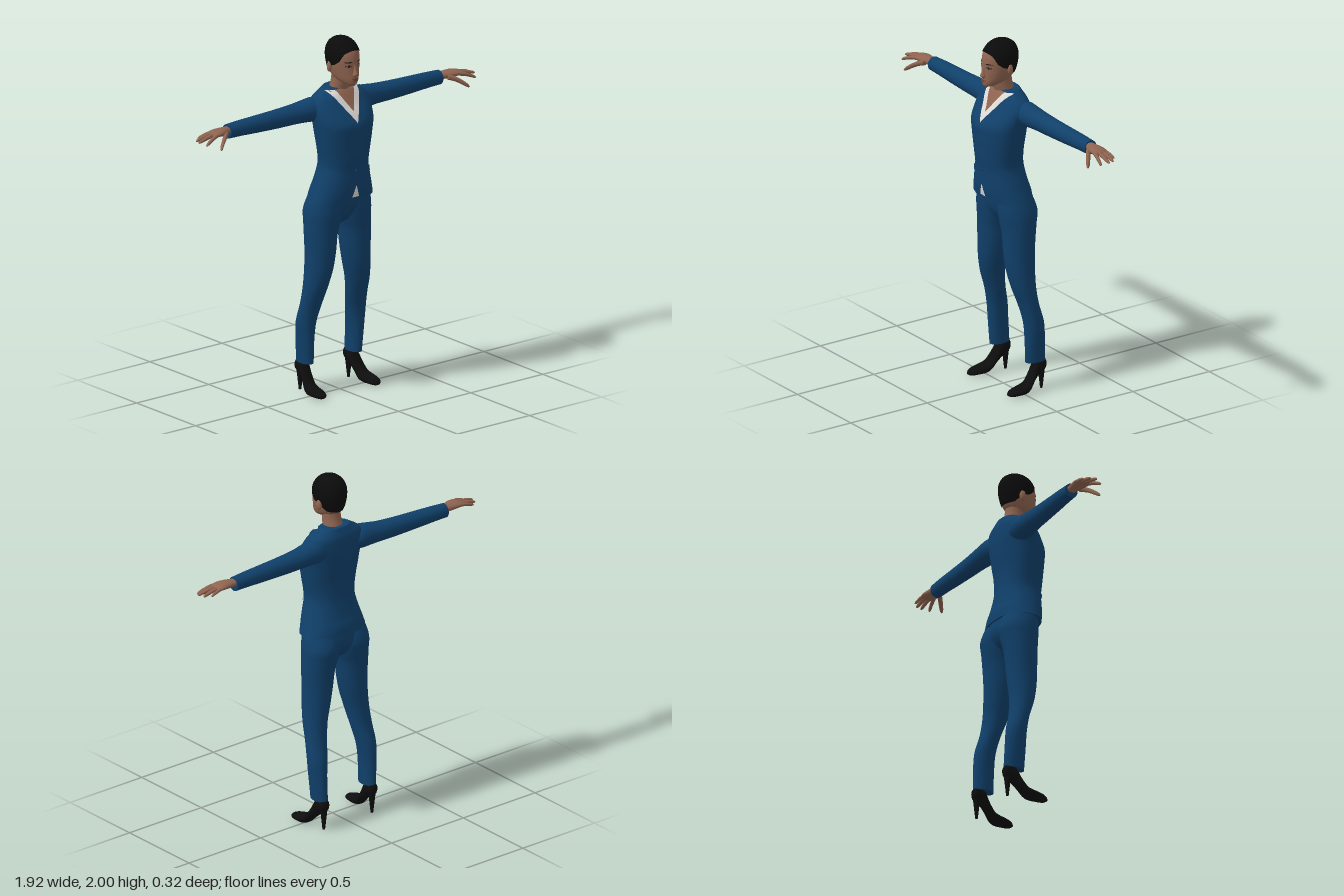
import * as THREE from 'three';

const mat = (name, color) => Object.assign(new THREE.MeshStandardMaterial({ color }), { name });

// Smooth interpolation of section rows [t, cu, cv, ru, rv] at t
function sample(rows, t) {
  let i = 0;
  while (i < rows.length - 2 && t > rows[i + 1][0]) i++;
  const a = rows[i], b = rows[i + 1], p = rows[Math.max(i - 1, 0)], q = rows[Math.min(i + 2, rows.length - 1)];
  const h = b[0] - a[0], s = THREE.MathUtils.clamp((t - a[0]) / h, 0, 1), s2 = s * s, s3 = s2 * s;
  return [1, 2, 3, 4].map((k) => {
    const ma = ((b[k] - p[k]) / (b[0] - p[0])) * h, mb = ((q[k] - a[k]) / (q[0] - a[0])) * h;
    const v = (2 * s3 - 3 * s2 + 1) * a[k] + (s3 - 2 * s2 + s) * ma + (3 * s2 - 2 * s3) * b[k] + (s3 - s2) * mb;
    return k > 2 ? Math.max(v, 0.0005) : v;
  });
}

// Loft of superellipse sections along an axis; low(sin) trims the lower rim
function loft(rows, { axis = 'y', n = 2, sides = 32, sub = 4, grow = 0, low = null } = {}) {
  const pos = [], idx = [], ts = [];
  const put = { x: (t, u, v) => [t, v, u], y: (t, u, v) => [u, t, v], z: (t, u, v) => [v, u, t] }[axis];
  for (let i = 0; i < rows.length - 1; i++)
    for (let k = 0; k < sub; k++) ts.push(rows[i][0] + ((rows[i + 1][0] - rows[i][0]) * k) / sub);
  const end = rows[rows.length - 1][0];
  ts.push(end);
  const pw = (c) => Math.sign(c) * Math.abs(c) ** (2 / n);
  ts.forEach((t0, i) => {
    for (let j = 0; j < sides; j++) {
      const a = (j / sides) * Math.PI * 2, f = i / (ts.length - 1);
      const l = low ? low(Math.sin(a)) : 0;
      const t = low ? l + (end - l) * (1 - (1 - f) ** 2) : t0;
      const [cu, cv, ru, rv] = sample(rows, t);
      pos.push(...put(t + (low ? grow * f : 0), cu + (ru + grow) * pw(Math.cos(a)), cv + (rv + grow) * pw(Math.sin(a))));
    }
  });
  const m = ts.length;
  for (let i = 0; i < m - 1; i++)
    for (let j = 0; j < sides; j++) {
      const a = i * sides + j, b = i * sides + ((j + 1) % sides);
      idx.push(a, a + sides, b, b, a + sides, b + sides);
    }
  // End caps
  for (const [r, flip] of low ? [[m - 1, true]] : [[0, false], [m - 1, true]]) {
    const base = pos.length / 3, [cu, cv] = sample(rows, ts[r]);
    pos.push(...pos.slice(r * sides * 3, (r + 1) * sides * 3), ...put(ts[r] + (low ? grow : 0), cu, cv));
    for (let j = 0; j < sides; j++) {
      const a = base + j, b = base + ((j + 1) % sides), c = base + sides;
      flip ? idx.push(a, c, b) : idx.push(a, b, c);
    }
  }
  return build(pos, idx);
}

function build(pos, idx) {
  const g = new THREE.BufferGeometry();
  g.setAttribute('position', new THREE.Float32BufferAttribute(pos, 3));
  g.setIndex(idx);
  g.computeVertexNormals();
  return g;
}

// Thin plate lying on the front of a vertical loft between two edges
function patch(rows, n, y0, y1, left, right, off, nx = 12, ny = 12) {
  const pos = [], idx = [];
  for (let i = 0; i <= ny; i++)
    for (let j = 0; j <= nx; j++) {
      const y = y0 + ((y1 - y0) * i) / ny, x = left(y) + ((right(y) - left(y)) * j) / nx;
      const [cu, cv, ru, rv] = sample(rows, y);
      const d = Math.min(Math.abs((x - cu) / ru), 0.97);
      pos.push(x, y, cv + rv * (1 - d ** n) ** (1 / n) + off);
      if (i < ny && j < nx) {
        const a = i * (nx + 1) + j, b = a + nx + 1;
        idx.push(a, a + 1, b, a + 1, b + 1, b);
      }
    }
  return build(pos, idx);
}

function mirrored(geo) {
  const g = geo.clone().scale(-1, 1, 1), a = g.index.array;
  for (let i = 0; i < a.length; i += 3) [a[i], a[i + 1]] = [a[i + 1], a[i]];
  return g;
}

export function createModel() {
  const model = new THREE.Group();
  model.name = 'womanInSuit';
  const suit = mat('suitBlue', 0x10406a), skin = mat('skin', 0x8f6450), hair = mat('hairBlack', 0x0c0b0b);
  const shoe = mat('shoeBlack', 0x0d0d0e), shirt = mat('shirtWhite', 0xdcd8d4);
  const lip = mat('lips', 0x74443c), eye = mat('eyeDark', 0x2a1b17), eyeWhite = mat('eyeWhite', 0xb5aaa2);
  const add = (name, geo, m) => {
    const mesh = new THREE.Mesh(geo, m);
    mesh.name = name;
    model.add(mesh);
  };
  const pair = (name, geo, m) => {
    add('left' + name, geo, m);
    add('right' + name, mirrored(geo), m);
  };

  // Jacket body
  const torso = [
    [1.1, 0, 0, 0.196, 0.126], [1.15, 0, 0.007, 0.18, 0.128], [1.2, 0, 0.016, 0.165, 0.122],
    [1.28, 0, 0.025, 0.143, 0.115], [1.33, 0, 0.03, 0.143, 0.116], [1.4, 0, 0.032, 0.155, 0.118],
    [1.47, 0, 0.03, 0.167, 0.124], [1.53, 0, 0.027, 0.176, 0.127], [1.58, 0, 0.012, 0.184, 0.116],
    [1.63, 0, -0.005, 0.187, 0.098], [1.67, 0, -0.015, 0.165, 0.084], [1.7, 0, -0.018, 0.118, 0.07],
    [1.72, 0, -0.022, 0.085, 0.058]];
  const N = 2.3;
  add('jacket', loft(torso, { n: N, sides: 48 }), suit);

  // Shirt, open neckline, lapels and jacket trim
  const vee = (y) => Math.max(0, (y - 1.54) * 0.62);
  const neckline = (y) => Math.max(0, (y - 1.6) * 0.56);
  add('shirtFront', patch(torso, N, 1.54, 1.712, (y) => -vee(y), vee, 0.004, 16, 16), shirt);
  add('openNeckline', patch(torso, N, 1.6, 1.715, (y) => -neckline(y), neckline, 0.006), skin);
  const lapelWidth = (y) => 0.05 * Math.sin(Math.PI * THREE.MathUtils.clamp((y - 1.5) / 0.24, 0, 1)) ** 0.7;
  pair('Lapel', patch(torso, N, 1.52, 1.7, vee, (y) => vee(y) + lapelWidth(y), 0.008), suit);
  pair('PocketFlap', patch(torso, N, 1.24, 1.275, (y) => 0.06, (y) => 0.125, 0.006), suit);
  const hemGap = (y) => 0.024 * (1.19 - y) / 0.07;
  add('shirtHem', patch(torso, N, 1.12, 1.19, (y) => -hemGap(y), hemGap, 0.005), shirt);
  add('button', new THREE.SphereGeometry(0.008, 12, 8).scale(1, 1, 0.5).translate(0, 1.27, 0.141), suit);

  // Sleeves
  pair('Sleeve', loft([
    [0.09, -0.03, 1.6, 0.055, 0.045], [0.15, -0.034, 1.607, 0.066, 0.066], [0.21, -0.038, 1.606, 0.063, 0.062],
    [0.28, -0.044, 1.602, 0.057, 0.056], [0.4, -0.048, 1.598, 0.05, 0.052], [0.55, -0.052, 1.597, 0.045, 0.047],
    [0.65, -0.055, 1.597, 0.042, 0.043], [0.735, -0.057, 1.595, 0.038, 0.04]], { axis: 'x' }), suit);

  // Hands
  pair('Palm', loft([
    [0.71, -0.055, 1.603, 0.028, 0.021], [0.745, -0.053, 1.604, 0.029, 0.021], [0.78, -0.048, 1.605, 0.038, 0.022],
    [0.82, -0.046, 1.606, 0.044, 0.019], [0.85, -0.046, 1.603, 0.042, 0.014], [0.86, -0.046, 1.602, 0.034, 0.008]],
  { axis: 'x', sides: 20 }), skin);
  const finger = (x0, z0, y0, x1, z1, y1, r) => loft([0, 0.3, 0.6, 0.9, 1].map((t, i) => [
    x0 + (x1 - x0) * t, z0 + (z1 - z0) * t, y0 + (y1 - y0) * t ** 1.5,
    ...Array(2).fill(r * [1, 1, 0.9, 0.7, 0.15][i])]), { axis: 'x', sides: 10, sub: 3 });
  [['Index', -0.014, 0.935, 0.012, 1.57], ['Middle', -0.036, 0.958, -0.026, 1.583],
    ['Ring', -0.057, 0.948, -0.059, 1.583], ['Little', -0.077, 0.915, -0.087, 1.585]]
    .forEach(([f, z0, x1, z1, y1], i) => pair(f + 'Finger', finger(0.835, z0, 1.604, x1, z1, y1, i < 3 ? 0.0115 : 0.0095), skin));
  pair('Thumb', finger(0.765, -0.022, 1.598, 0.862, 0.048, 1.54, 0.0155), skin);

  // Trousers
  pair('TrouserLeg', loft([
    [0.165, 0.167, -0.091, 0.036, 0.06], [0.3, 0.172, -0.085, 0.044, 0.06], [0.4, 0.17, -0.077, 0.054, 0.058],
    [0.5, 0.157, -0.053, 0.062, 0.056], [0.6, 0.145, -0.03, 0.068, 0.068], [0.7, 0.13, -0.02, 0.077, 0.08],
    [0.8, 0.12, -0.018, 0.085, 0.086], [0.9, 0.115, -0.02, 0.092, 0.092], [0.97, 0.105, -0.022, 0.102, 0.101],
    [1.03, 0.1, -0.023, 0.105, 0.109], [1.1, 0.09, -0.012, 0.1, 0.1], [1.16, 0.08, 0, 0.085, 0.09]]), suit);
  add('trouserSeat', loft([
    [0.945, 0, -0.02, 0.03, 0.03], [0.97, 0, -0.02, 0.09, 0.065], [1.03, 0, -0.02, 0.18, 0.098],
    [1.1, 0, -0.012, 0.18, 0.105], [1.16, 0, 0, 0.15, 0.1]]), suit);

  // High-heeled shoes
  pair('Shoe', loft([
    [-0.155, 0.142, 0.168, 0.02, 0.015], [-0.145, 0.141, 0.168, 0.036, 0.027], [-0.12, 0.14, 0.168, 0.044, 0.032],
    [-0.09, 0.122, 0.17, 0.054, 0.034], [-0.06, 0.08, 0.176, 0.038, 0.036], [-0.03, 0.042, 0.182, 0.029, 0.041],
    [0, 0.028, 0.186, 0.027, 0.045], [0.05, 0.022, 0.188, 0.021, 0.041], [0.085, 0.017, 0.188, 0.015, 0.027],
    [0.1, 0.015, 0.188, 0.006, 0.01]], { axis: 'z', sides: 24 }), shoe);
  pair('StilettoHeel', new THREE.CylinderGeometry(0.021, 0.007, 0.125, 14).translate(0.168, 0.0625, -0.131), shoe);

  // Neck and head
  add('neck', loft([
    [1.62, 0, -0.012, 0.06, 0.045], [1.7, 0, -0.006, 0.056, 0.055], [1.76, 0, 0.008, 0.05, 0.054],
    [1.83, 0, 0.012, 0.052, 0.054]]), skin);
  const head = [
    [1.745, 0, 0.102, 0.012, 0.02], [1.755, 0, 0.084, 0.034, 0.046], [1.78, 0, 0.052, 0.057, 0.082],
    [1.81, 0, 0.036, 0.069, 0.096], [1.85, 0, 0.028, 0.078, 0.101], [1.89, 0, 0.024, 0.082, 0.104],
    [1.93, 0, 0.021, 0.079, 0.098], [1.965, 0, 0.018, 0.063, 0.078], [1.983, 0, 0.017, 0.044, 0.054],
    [1.993, 0, 0.016, 0.024, 0.03], [1.996, 0, 0.016, 0.001, 0.001]];
  add('head', loft(head, { sides: 40 }), skin);

  // Cropped hair with a curved hairline
  const line = [[-1, 1.805], [-0.6, 1.812], [-0.1, 1.85], [0.3, 1.865], [0.55, 1.885], [0.8, 1.928], [1, 1.942]];
  const hairline = (s) => {
    const i = Math.max(1, line.findIndex((p) => s <= p[0] + 1e-6)), [a, b] = [line[i - 1], line[i]];
    return THREE.MathUtils.mapLinear(s, a[0], b[0], a[1], b[1]);
  };
  add('hair', loft(head, { sides: 64, grow: 0.004, low: hairline }), hair);

  // Facial features
  add('nose', loft([
    [1.797, 0, 0.126, 0.008, 0.008], [1.806, 0, 0.13, 0.017, 0.016], [1.816, 0, 0.132, 0.015, 0.018],
    [1.835, 0, 0.126, 0.009, 0.015], [1.87, 0, 0.119, 0.007, 0.01]], { sides: 16 }), skin);
  pair('Ear', new THREE.SphereGeometry(1, 16, 12).scale(0.012, 0.03, 0.018).rotateY(0.3).translate(0.083, 0.0, 0.012).translate(0, 1.845, 0), skin);
  const oval = (name, x, y, rx, ry, off, m, both = true) => {
    const w = (v) => rx * Math.sqrt(Math.max(0, 1 - ((v - y) / ry) ** 2));
    (both ? pair : add)(name, patch(head, 2, y - ry, y + ry, (v) => x - w(v), (v) => x + w(v), off), m);
  };
  oval('EyeRim', 0.034, 1.86, 0.016, 0.0065, 0.002, eye);
  oval('EyeWhite', 0.034, 1.859, 0.012, 0.004, 0.003, eyeWhite);
  oval('Iris', 0.034, 1.859, 0.0055, 0.0045, 0.004, eye);
  oval('Eyebrow', 0.035, 1.882, 0.02, 0.0035, 0.002, eye);
  oval('upperLip', 0, 1.787, 0.022, 0.005, 0.004, lip, false);
  oval('lowerLip', 0, 1.779, 0.018, 0.005, 0.005, lip, false);
  return model;
}
